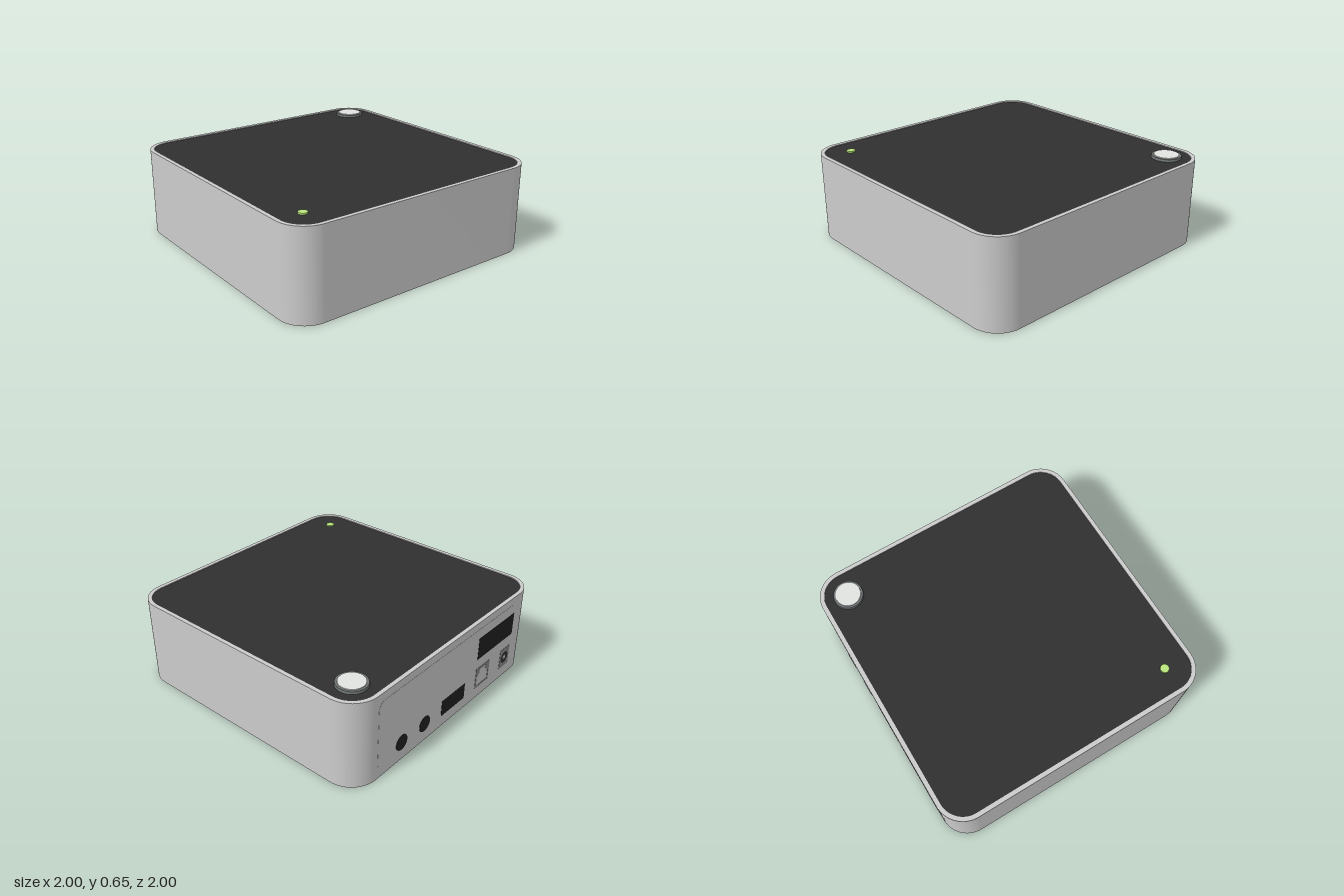
import * as THREE from 'three';
import { toCreasedNormals } from 'three/addons/utils/BufferGeometryUtils.js';

const H = 0.635;

// Rounded rectangle centred on (cx, cy)
function roundRect(w, h, r, cx = 0, cy = 0, Type = THREE.Shape) {
  const s = new Type(), x = cx - w / 2, y = cy - h / 2, q = Math.PI / 2;
  s.absarc(x + w - r, y + r, r, -q, 0);
  s.absarc(x + w - r, y + h - r, r, 0, q);
  s.absarc(x + r, y + h - r, r, q, 2 * q);
  s.absarc(x + r, y + r, r, 2 * q, 3 * q);
  s.closePath();
  return s;
}

function circle(r, cx, cy, Type = THREE.Shape) {
  const s = new Type();
  s.absarc(cx, cy, r, 0, Math.PI * 2);
  return s;
}

function polygon(points, Type = THREE.Shape) {
  return new Type(points.map(([x, y]) => new THREE.Vector2(x, y)));
}

function extrude(shape, depth) {
  const g = new THREE.ExtrudeGeometry(shape, { depth, bevelEnabled: false, curveSegments: 20 });
  return toCreasedNormals(g, 0.6);
}

export function createModel() {
  const model = new THREE.Group();
  const material = (color) => new THREE.MeshStandardMaterial({ color });
  const grey = material(0xcccccc), dark = material(0x303030), black = material(0x202020);
  const trim = material(0x8a8a8a), ringGrey = material(0x6e7373);
  const silver = material(0xe2e4e0), green = material(0xb9e67c);

  const add = (name, geometry, mat, parent = model) => {
    const mesh = new THREE.Mesh(geometry, mat);
    mesh.name = name;
    parent.add(mesh);
    return mesh;
  };
  // Horizontal slab from y0 to y1
  const slab = (name, shape, y0, y1, mat) =>
    add(name, extrude(shape, y1 - y0).rotateX(-Math.PI / 2).translate(0, y0, 0), mat);

  // Casing: a rounded square band, with the lid and base set into it
  const band = roundRect(2, 2, 0.2);
  band.holes.push(roundRect(1.94, 1.94, 0.17, 0, 0, THREE.Path));
  slab('casing', band, 0, H, grey);
  slab('lid', roundRect(1.94, 1.94, 0.17), H - 0.04, H - 0.006, dark);
  slab('base', roundRect(1.94, 1.94, 0.17), 0.006, 0.04, black);

  // Round power button and status light
  const disc = (name, r0, r1, y0, y1, x, z, mat) =>
    add(name, new THREE.CylinderGeometry(r1, r0, y1 - y0, 40).translate(x, (y0 + y1) / 2, z), mat);
  disc('buttonRing', 0.107, 0.104, H - 0.01, 0.647, -0.8, -0.8, ringGrey);
  disc('buttonCap', 0.091, 0.088, H, 0.652, -0.8, -0.8, silver);
  disc('statusLight', 0.031, 0.031, H - 0.01, 0.639, 0.785, 0.8, green);

  // Connector panel on the -x side; its shapes are drawn in (z, y)
  const ports = new THREE.Group();
  ports.name = 'connectorPanel';
  model.add(ports);
  const plate = (name, shape, proud, mat) =>
    add(name, extrude(shape, proud + 0.002).rotateY(-Math.PI / 2).translate(-0.998, 0, 0), mat, ports);

  plate('panelPlate', roundRect(1.57, 0.52, 0.06, -0.005, 0.317), 0.001, grey);
  for (const z of [-0.55, -0.305]) plate('audioJack', circle(0.057, z, 0.138), 0.004, black);
  plate('usbPort', roundRect(0.27, 0.12, 0.004, 0.02, 0.147), 0.003, black);
  plate('videoPort', roundRect(0.45, 0.17, 0.004, 0.517, 0.415), 0.003, black);

  // Network socket: frame with a stepped opening
  const network = roundRect(0.17, 0.163, 0.004, 0.377, 0.168);
  network.holes.push(polygon([[0.307, 0.1], [0.447, 0.1], [0.447, 0.18], [0.415, 0.2],
    [0.415, 0.23], [0.339, 0.23], [0.339, 0.2], [0.307, 0.18]], THREE.Path));
  plate('networkSocket', network, 0.003, trim);

  // Power socket: frame with a round opening and centre pin
  const power = roundRect(0.122, 0.155, 0.004, 0.673, 0.163);
  power.holes.push(circle(0.045, 0.673, 0.163, THREE.Path));
  plate('powerSocket', power, 0.003, trim);
  plate('powerSocketWell', circle(0.045, 0.673, 0.163), 0.002, dark);
  plate('powerPin', circle(0.017, 0.673, 0.163), 0.003, grey);

  return model;
}
